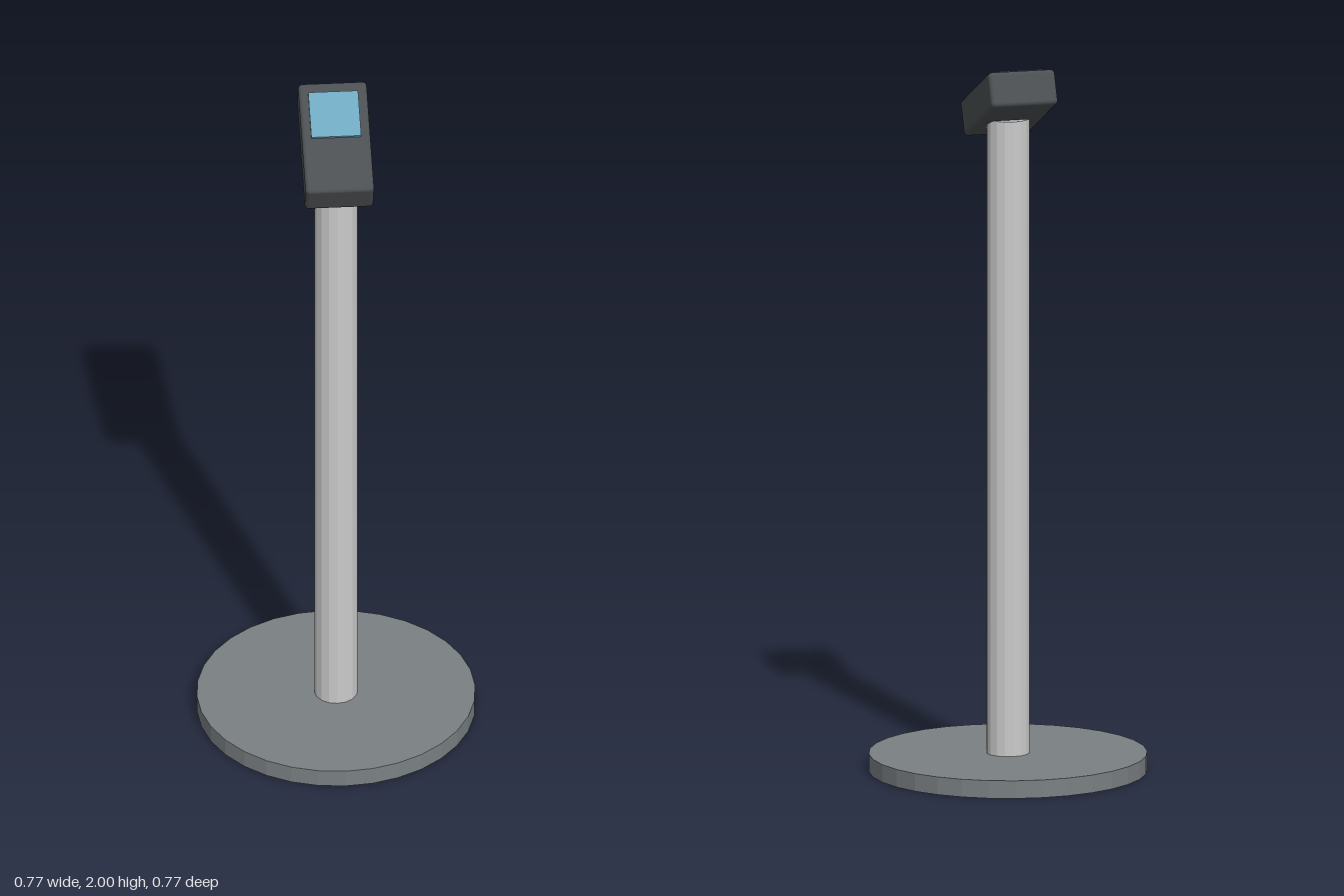
import * as THREE from 'three';
import { RoundedBoxGeometry } from 'three/addons/geometries/RoundedBoxGeometry.js';

export function createModel() {
  const model = new THREE.Group();
  model.name = 'terminalStand';

  const add = (parent, name, geometry, color, position, flatShading = false) => {
    const material = new THREE.MeshStandardMaterial({ color, flatShading });
    const mesh = new THREE.Mesh(geometry, material);
    mesh.name = name;
    mesh.position.set(...position);
    parent.add(mesh);
    return mesh;
  };

  // Round floor plate and the post standing on it
  const baseHeight = 0.05, postTop = 1.84;
  const postHeight = postTop - baseHeight;
  add(model, 'base', new THREE.CylinderGeometry(0.385, 0.385, baseHeight, 32),
    0x7a8083, [0, baseHeight / 2, 0], true);
  add(model, 'post', new THREE.CylinderGeometry(0.06, 0.06, postHeight, 16),
    0xcccccc, [0, baseHeight + postHeight / 2, 0], true);

  // Head tilted towards the front, with a slightly raised screen
  const head = new THREE.Group();
  head.name = 'head';
  head.position.set(0, 1.886, -0.014);
  head.rotation.x = THREE.MathUtils.degToRad(25);
  model.add(head);

  const thickness = 0.1;
  add(head, 'housing', new RoundedBoxGeometry(0.19, thickness, 0.348, 3, 0.012),
    0x4c5053, [0, 0, 0]);
  add(head, 'screen', new THREE.BoxGeometry(0.138, 0.012, 0.143),
    0x6fa8c0, [0, thickness / 2 + 0.001, -0.067]);

  return model;
}
